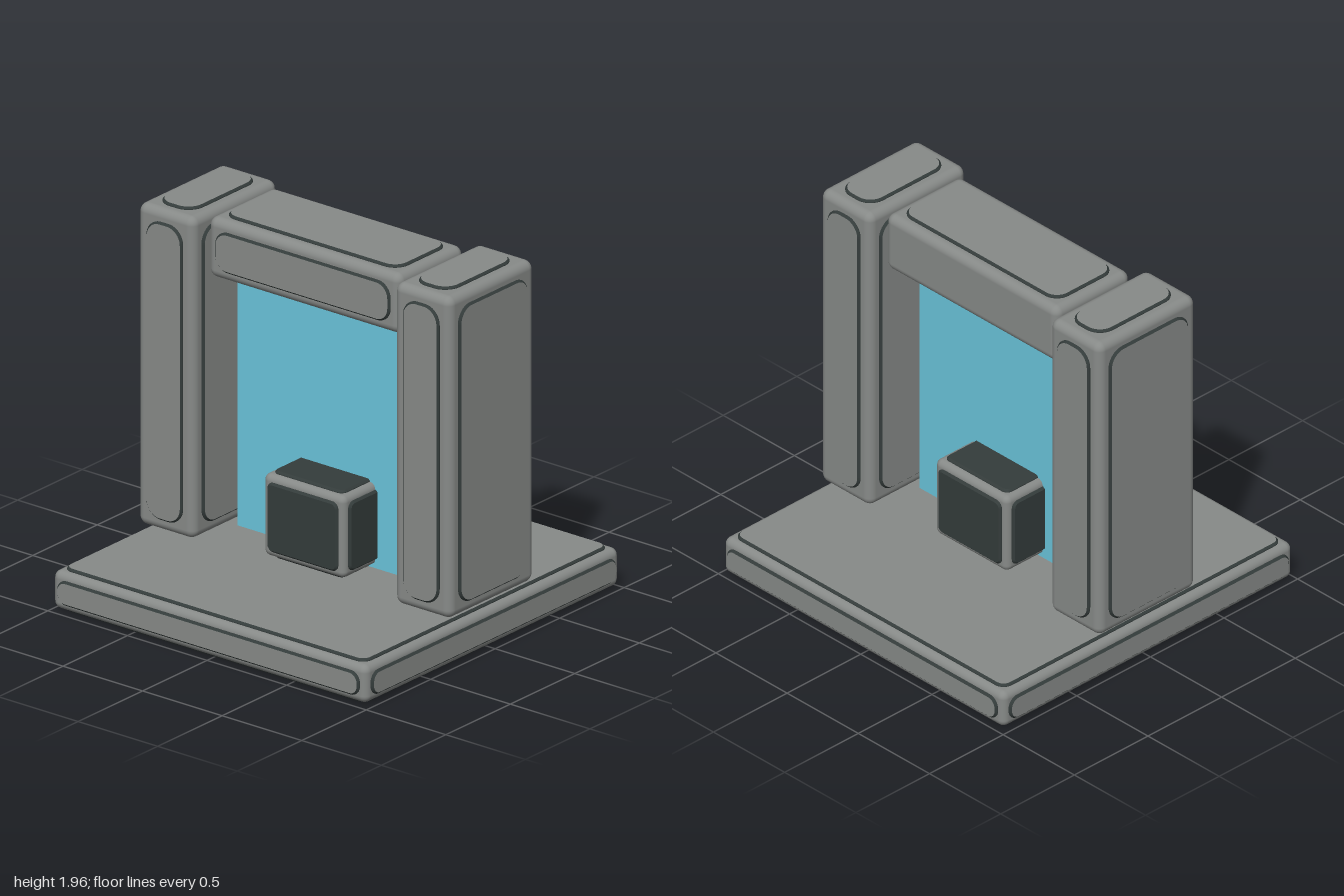
import * as THREE from 'three';
import { RoundedBoxGeometry } from 'three/addons/geometries/RoundedBoxGeometry.js';

const material = (name, color) => {
  const m = new THREE.MeshStandardMaterial({ color });
  m.name = name;
  return m;
};

const BEVEL = 0.01;

// Bevelled plate with rounded corners, lying in xy, from z = -BEVEL to z = depth
function plateGeometry(w, h, r, depth) {
  const x = w / 2, y = h / 2;
  r = Math.min(r, x * 0.98, y * 0.98);
  const s = new THREE.Shape();
  s.moveTo(-x + r, -y);
  s.lineTo(x - r, -y);
  s.absarc(x - r, -y + r, r, -Math.PI / 2, 0, false);
  s.lineTo(x, y - r);
  s.absarc(x - r, y - r, r, 0, Math.PI / 2, false);
  s.lineTo(-x + r, y);
  s.absarc(-x + r, y - r, r, Math.PI / 2, Math.PI, false);
  s.lineTo(-x, -y + r);
  s.absarc(-x + r, -y + r, r, Math.PI, Math.PI * 1.5, false);
  return new THREE.ExtrudeGeometry(s, {
    depth: depth - BEVEL, curveSegments: 6, bevelEnabled: true,
    bevelThickness: BEVEL, bevelSize: BEVEL, bevelOffset: -BEVEL, bevelSegments: 1,
  });
}

// Each side: plate rotation, outward axis, and the axes of plate width and height
const SIDES = {
  front: { rot: [0, 0, 0], axis: 2, sign: 1, u: 0, v: 1 },
  back: { rot: [0, Math.PI, 0], axis: 2, sign: -1, u: 0, v: 1 },
  left: { rot: [0, Math.PI / 2, 0], axis: 0, sign: 1, u: 2, v: 1 },
  right: { rot: [0, -Math.PI / 2, 0], axis: 0, sign: -1, u: 2, v: 1 },
  top: { rot: [-Math.PI / 2, 0, 0], axis: 1, sign: 1, u: 0, v: 2 },
  bottom: { rot: [Math.PI / 2, 0, 0], axis: 1, sign: -1, u: 0, v: 2 },
};

// Soft-edged block with a raised plate on each listed side; plate rims have their own colour
function block(name, size, center, o) {
  const group = new THREE.Group();
  group.name = name;
  group.position.set(...center);
  const body = new THREE.Mesh(new RoundedBoxGeometry(...size, 4, o.edge), o.bodyMat);
  body.name = name + 'Body';
  group.add(body);
  for (const side of o.sides ?? Object.keys(SIDES)) {
    const { rot, axis, sign, u, v } = SIDES[side];
    const w = size[u] - 2 * o.inset, h = size[v] - 2 * o.inset;
    const plate = new THREE.Mesh(plateGeometry(w, h, o.corner, 0.018), [o.plateMat, o.rimMat]);
    plate.name = name + side[0].toUpperCase() + side.slice(1) + 'Plate';
    plate.rotation.set(...rot);
    plate.position.setComponent(axis, sign * (size[axis] / 2 - 0.004));
    group.add(plate);
  }
  return group;
}

export function createModel() {
  const stone = material('stone grey', 0x878a88);
  const dark = material('dark panel', 0x343c3b);
  const glass = material('pane blue', 0x6ac5db);
  const stonePlates = { bodyMat: stone, plateMat: stone, rimMat: dark };
  const darkPlates = { bodyMat: stone, plateMat: dark, rimMat: dark };
  const model = new THREE.Group();
  model.name = 'gate';

  // Square base slab
  model.add(block('base', [1.972, 0.202, 1.972], [0, 0.115, 0],
    { edge: 0.04, inset: 0.037, corner: 0.055, ...stonePlates }));

  // Two pillars
  for (const s of [-1, 1]) {
    model.add(block(s > 0 ? 'leftPillar' : 'rightPillar', [0.354, 1.7, 0.662], [s * 0.806, 1.098, 0],
      { edge: 0.045, inset: 0.063, corner: 0.09, ...stonePlates }));
  }

  // Lintel, plated on front and top only
  model.add(block('lintel', [1.206, 0.318, 0.51], [0, 1.789, 0],
    { edge: 0.045, inset: 0.053, corner: 0.08, sides: ['front', 'top'], ...stonePlates }));

  // Pane filling the opening
  const pane = new THREE.Mesh(new THREE.BoxGeometry(1.224, 1.306, 0.02), glass);
  pane.name = 'pane';
  pane.position.y = 0.887;
  model.add(pane);

  // Bevelled rail joining the pane to the lintel
  const rail = new THREE.Mesh(plateGeometry(1.19, 0.108, 0.005, 0.03), glass);
  rail.name = 'paneRail';
  rail.position.set(0, 1.574, -0.01);
  model.add(rail);

  // Control box through the foot of the pane
  model.add(block('controlBox', [0.51, 0.434, 0.51], [0, 0.466, 0],
    { edge: 0.035, inset: 0.034, corner: 0.035, ...darkPlates }));

  return model;
}
